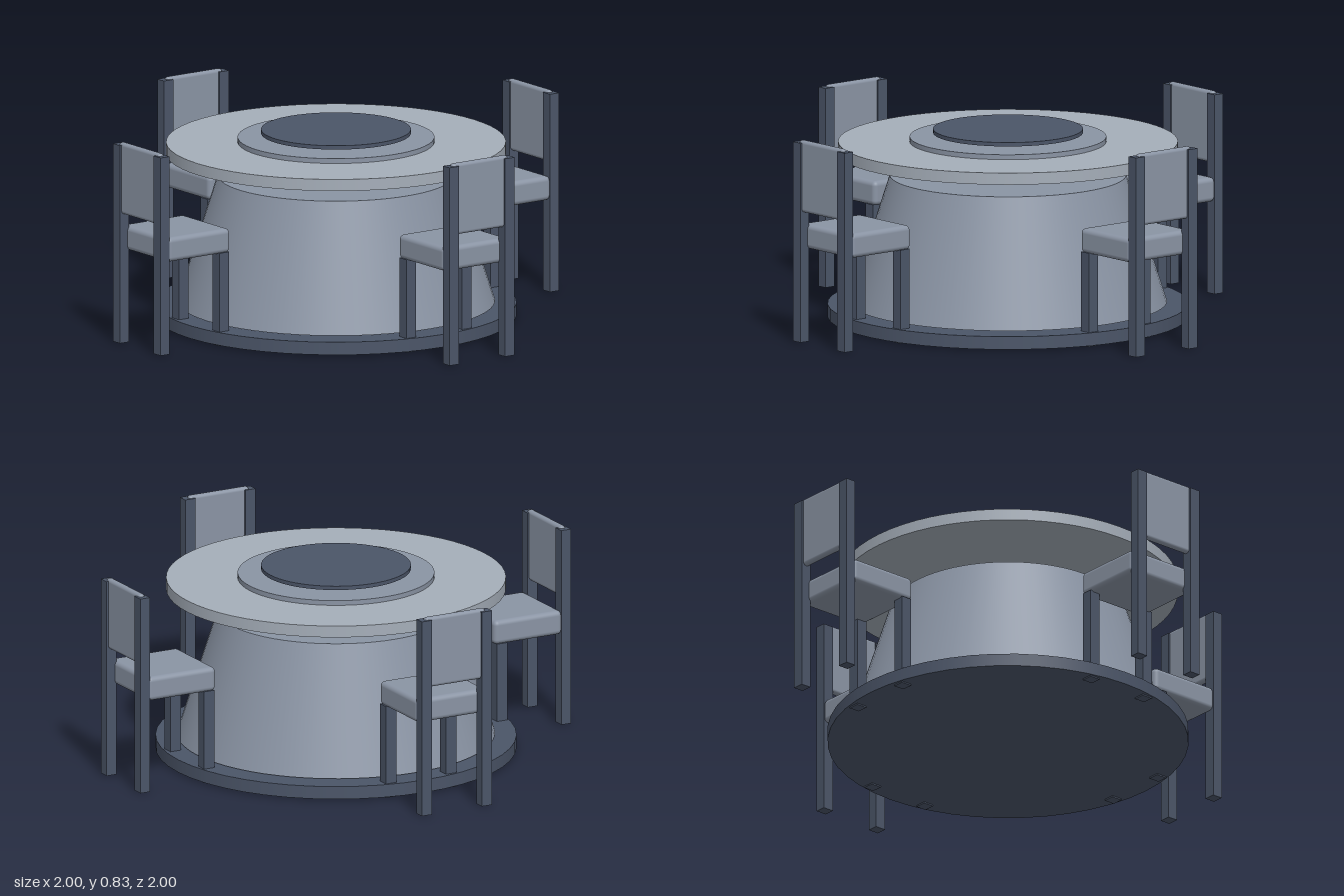
import * as THREE from 'three';
import { RoundedBoxGeometry } from 'three/addons/geometries/RoundedBoxGeometry.js';

const dark = new THREE.MeshStandardMaterial({ color: 0x4b5568 });
const mid = new THREE.MeshStandardMaterial({ color: 0x8a94a4 });
const light = new THREE.MeshStandardMaterial({ color: 0xa5aeb9 });

function add(parent, name, geometry, material, x, y, z) {
  const mesh = new THREE.Mesh(geometry, material);
  mesh.name = name;
  mesh.position.set(x, y, z);
  parent.add(mesh);
  return mesh;
}

// Round part standing between two heights
function disc(parent, name, rTop, rBottom, y0, y1, material, sides = 64) {
  const geometry = new THREE.CylinderGeometry(rTop, rBottom, y1 - y0, sides);
  add(parent, name, geometry, material, 0, (y0 + y1) / 2, 0);
}

// Chair on the +z side, facing the table
function createChair() {
  const chair = new THREE.Group();
  chair.name = 'chair';
  add(chair, 'seat', new RoundedBoxGeometry(0.325, 0.1, 0.315, 4, 0.02), mid, 0, 0.435, 0.803);
  add(chair, 'backrest', new RoundedBoxGeometry(0.28, 0.295, 0.03, 4, 0.014), mid, 0, 0.687, 0.975);
  for (const side of [-1, 1]) {
    add(chair, 'backPost', new THREE.BoxGeometry(0.048, 0.82, 0.045), dark, side * 0.139, 0.415, 0.976);
    add(chair, 'frontLeg', new THREE.BoxGeometry(0.048, 0.385, 0.048), dark, side * 0.139, 0.197, 0.679);
  }
  return chair;
}

export function createModel() {
  const model = new THREE.Group();
  model.name = 'roundTableWithChairs';

  // Table: base plate, tapered pedestal, raised top with two centre discs
  disc(model, 'basePlate', 0.73, 0.73, 0.01, 0.063, dark, 48);
  disc(model, 'pedestal', 0.478, 0.643, 0.07, 0.59, mid);
  disc(model, 'tableTop', 0.687, 0.687, 0.68, 0.728, light);
  disc(model, 'centreRing', 0.398, 0.398, 0.728, 0.748, mid);
  disc(model, 'centreDisc', 0.303, 0.303, 0.764, 0.78, dark);

  // Four chairs around the table
  for (let i = 0; i < 4; i++) {
    const chair = createChair();
    chair.rotation.y = (i * Math.PI) / 2;
    model.add(chair);
  }

  // Set the feet on the ground
  const box = new THREE.Box3().setFromObject(model);
  model.children.forEach((part) => { part.position.y -= box.min.y; });
  return model;
}
